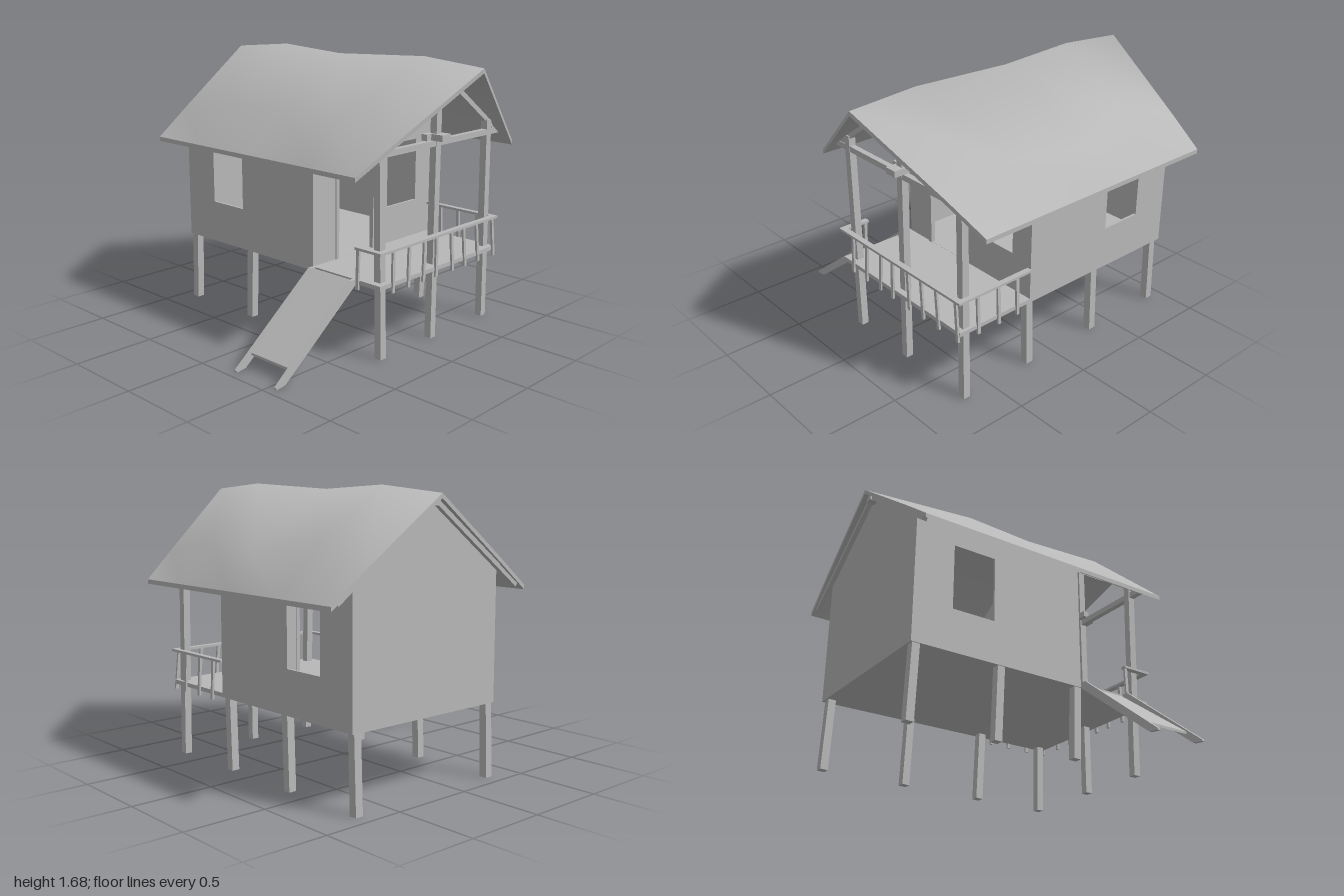
import * as THREE from 'three';
import { toCreasedNormals } from 'three/addons/utils/BufferGeometryUtils.js';

export function createModel() {
  const house = new THREE.Group();
  house.name = 'stiltHouse';
  const grey = new THREE.MeshStandardMaterial({ color: 0xb8b8b8, side: THREE.DoubleSide });
  grey.name = 'plain grey';

  const add = (name, geometry) => {
    const mesh = new THREE.Mesh(geometry, grey);
    mesh.name = name;
    house.add(mesh);
    return mesh;
  };
  // Box given by its extents
  const box = (name, x0, x1, y0, y1, z0, z1) => {
    const m = add(name, new THREE.BoxGeometry(x1 - x0, y1 - y0, z1 - z0));
    m.position.set((x0 + x1) / 2, (y0 + y1) / 2, (z0 + z1) / 2);
    return m;
  };
  // Square timber running between two points
  const UP = new THREE.Vector3(0, 1, 0);
  const timber = (name, from, to, w, d = w) => {
    const a = new THREE.Vector3(...from), b = new THREE.Vector3(...to);
    const m = add(name, new THREE.BoxGeometry(w, a.distanceTo(b), d));
    m.position.copy(a).add(b).multiplyScalar(0.5);
    m.quaternion.setFromUnitVectors(UP, b.sub(a).normalize());
    return m;
  };
  const polygon = (pts) => new THREE.Shape(pts.map((p) => new THREE.Vector2(...p)));
  const rect = (x0, x1, y0, y1) => polygon([[x0, y0], [x1, y0], [x1, y1], [x0, y1]]);
  const plate = (shape, depth) => new THREE.ExtrudeGeometry(shape, { depth, bevelEnabled: false });

  // Floor and porch deck
  box('floorDeck', -0.33, 0.76, 0.44, 0.465, -0.92, 0.74);

  // Gable walls
  const T = 0.015;
  const back = polygon([[-0.33, 0.44], [0.76, 0.44], [0.76, 1.23], [0.215, 1.62], [-0.33, 1.23]]);
  add('backWall', plate(back, T)).position.z = -0.92;
  const front = polygon([[-0.33, 0.44], [0.76, 0.44], [0.76, 1.26], [0.215, 1.62], [-0.33, 1.26]]);
  front.holes.push(rect(0.33, 0.61, 0.7, 1.1), rect(-0.115, 0.19, 0.466, 1.01));
  add('frontWall', plate(front, T)).position.z = 0.22 - T;

  // Side walls with windows
  for (const [name, x] of [['leftWall', 0.76 - T], ['rightWall', -0.33]]) {
    const side = rect(-0.22, 0.92, 0.44, 1.23);
    side.holes.push(rect(0.395, 0.67, 0.7, 1.1));
    const wall = add(name, plate(side, T));
    wall.rotation.y = Math.PI / 2;
    wall.position.x = x;
  }

  // Door frame
  box('doorJamb', -0.14, -0.115, 0.465, 1.01, 0.2, 0.228);
  box('doorJamb', 0.19, 0.215, 0.465, 1.01, 0.2, 0.228);
  box('doorLintel', -0.14, 0.215, 1.01, 1.04, 0.2, 0.228);

  // Porch posts, leaning slightly
  timber('porchPost', [-0.25, 0, 0.68], [-0.285, 1.27, 0.68], 0.045);
  timber('porchPost', [0.205, 0, 0.68], [0.215, 1.61, 0.68], 0.045);
  timber('porchPost', [0.725, 0, 0.68], [0.71, 1.27, 0.68], 0.045);

  // Stilts under the house
  for (const x of [-0.3, 0.715]) {
    for (const z of [0.185, -0.355, -0.9]) timber('stilt', [x, 0, z], [x, 0.44, z + 0.015], 0.048);
  }

  // Porch roof timbers
  box('crossBeam', -0.4, 0.81, 1.175, 1.21, 0.665, 0.7);
  box('centreTie', 0.17, 0.25, 1.21, 1.248, 0.64, 0.76);
  box('tieBlock', 0.13, 0.17, 1.21, 1.248, 0.64, 0.68);
  box('ridgeBeam', 0.19, 0.24, 1.575, 1.615, -0.97, 0.88);
  for (const s of [-1, 1]) {
    timber('frontRafter', [0.215 + s * 0.01, 1.61, 0.68], [0.215 + s * 0.61, 1.18, 0.68], 0.03);
    timber('backRafter', [0.215 + s * 0.01, 1.6, -0.945], [0.215 + s * 0.68, 1.115, -0.945], 0.03);
  }

  // Railing
  box('frontRail', -0.345, 0.77, 0.645, 0.66, 0.715, 0.752);
  box('leftRail', 0.735, 0.77, 0.645, 0.66, 0.22, 0.735);
  box('rightRail', -0.345, -0.31, 0.645, 0.66, 0.56, 0.735);
  const balusters = [[-0.22, -0.225], [-0.08, -0.09], [0.058, 0.046], [0.17, 0.165],
    [0.31, 0.325], [0.43, 0.45], [0.56, 0.585], [0.725, 0.748]];
  for (const [top, bottom] of balusters) {
    timber('baluster', [bottom, 0.405, 0.744], [top, 0.648, 0.74], 0.02, 0.014);
  }
  for (const z of [0.61, 0.46, 0.32]) timber('baluster', [0.765, 0.41, z], [0.755, 0.648, z], 0.014, 0.02);
  timber('baluster', [-0.335, 0.41, 0.575], [-0.328, 0.648, 0.575], 0.014, 0.02);

  // Ramp with two stringers
  const stringer = polygon([[-0.95, 0], [-0.885, 0.008], [-0.325, 0.44], [-0.325, 0.467], [-0.37, 0.467], [-0.95, 0.01]]);
  for (const z of [0.22, 0.54]) add('rampStringer', plate(stringer, 0.02)).position.z = z;
  const board = polygon([[-0.84, 0.07], [-0.33, 0.44], [-0.33, 0.455], [-0.84, 0.085]]);
  add('rampBoard', plate(board, 0.3)).position.z = 0.24;

  // Sagging roof: rows run front to back, each holds eave, mid, ridge, mid, eave
  const rows = [
    [[-0.52, 1.11, 0.72], [-0.31, 1.265, 0.8], [0.21, 1.645, 1], [0.73, 1.27, 0.8], [0.945, 1.11, 0.72]],
    [[-0.52, 1.11, 0.36], [-0.33, 1.33, 0.36], [0.22, 1.68, 0.58], [0.73, 1.36, 0.34], [0.945, 1.11, 0.36]],
    [[-0.52, 1.11, -0.12], [-0.25, 1.36, -0.1], [0.21, 1.652, -0.08], [0.79, 1.32, -0.13], [0.945, 1.11, -0.12]],
    [[-0.52, 1.11, -0.55], [-0.3, 1.34, -0.55], [0.22, 1.68, -0.56], [0.66, 1.4, -0.55], [0.945, 1.11, -0.55]],
    [[-0.52, 1.11, -0.97], [-0.31, 1.265, -0.98], [0.21, 1.64, -1], [0.73, 1.27, -0.98], [0.945, 1.11, -0.97]],
  ];
  const top = rows.flat();
  const bottom = top.map(([x, y, z]) => [x, y - 0.027, z]);
  const surface = (pts, flip) => {
    const index = [];
    for (let r = 0; r < 4; r++) {
      for (let c = 0; c < 4; c++) {
        const a = r * 5 + c, b = a + 1, d = a + 5, e = a + 6;
        index.push(...(flip ? [a, e, b, a, d, e] : [a, b, e, a, e, d]));
      }
    }
    const g = new THREE.BufferGeometry();
    g.setAttribute('position', new THREE.Float32BufferAttribute(pts.flat(), 3));
    g.setIndex(index);
    g.computeVertexNormals();
    return g;
  };
  add('roofTop', surface(top, false));
  add('roofUnderside', surface(bottom, true));

  // Fascia closing the roof edge
  const ring = [0, 1, 2, 3, 4, 9, 14, 19, 24, 23, 22, 21, 20, 15, 10, 5];
  const edge = [];
  ring.forEach((p, i) => {
    const q = ring[(i + 1) % ring.length];
    edge.push(bottom[p], bottom[q], top[q], bottom[p], top[q], top[p]);
  });
  const fascia = new THREE.BufferGeometry();
  fascia.setAttribute('position', new THREE.Float32BufferAttribute(edge.flat(), 3));
  add('roofFascia', toCreasedNormals(fascia, 0.5));

  return house;
}
